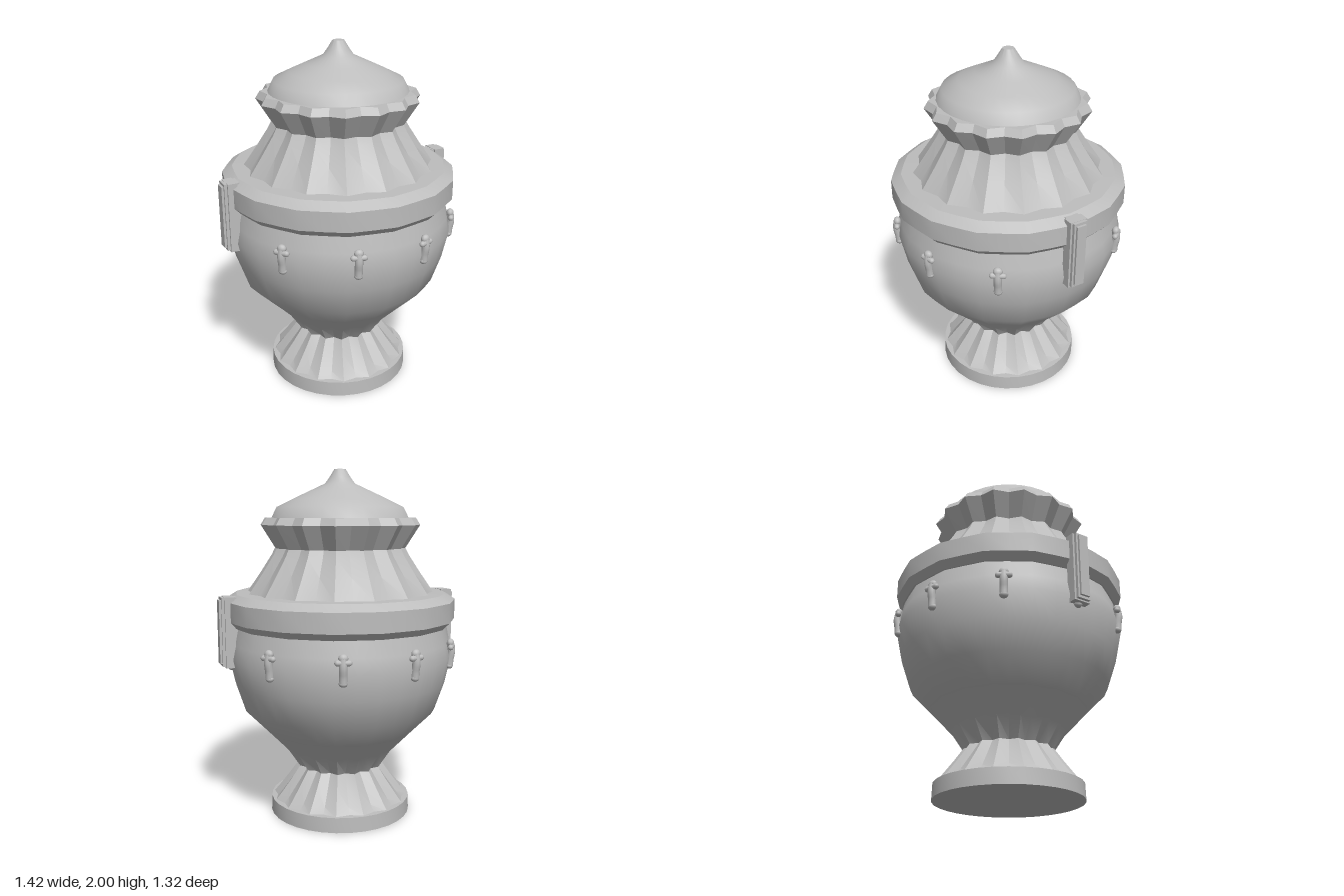
import * as THREE from 'three';
import { toCreasedNormals, mergeGeometries } from 'three/addons/utils/BufferGeometryUtils.js';

const stone = new THREE.MeshStandardMaterial({ color: 0xbdbdbd });
stone.name = 'grey stone';

function addMesh(parent, name, geometry) {
  const mesh = new THREE.Mesh(geometry, stone);
  mesh.name = name;
  parent.add(mesh);
  return mesh;
}

// Turned part with 16 flutes: each profile point is [ridge radius, valley radius, y]
function fluted(profile, crease) {
  const points = profile.map(([r, , y]) => new THREE.Vector2(r, y));
  const geometry = new THREE.LatheGeometry(points, 32);
  const pos = geometry.attributes.position;
  for (let i = 0; i < pos.count; i++) {
    const [ridge, valley] = profile[i % profile.length];
    const column = Math.floor(i / profile.length);
    if (column % 2 && ridge > 0) {
      pos.setX(i, pos.getX(i) * valley / ridge);
      pos.setZ(i, pos.getZ(i) * valley / ridge);
    }
  }
  return toCreasedNormals(geometry, crease);
}

// Small cross with rounded arms and a drooping tail, facing +z
function ornamentGeometry() {
  const bar = new THREE.CapsuleGeometry(0.016, 0.06, 4, 10);
  bar.rotateZ(Math.PI / 2).translate(0, 1.015, 0.012);
  const knob = new THREE.SphereGeometry(0.026, 12, 8);
  knob.scale(1, 0.9, 0.8).translate(0, 1.037, 0.006);
  const path = new THREE.CatmullRomCurve3([
    new THREE.Vector3(0, 1.04, 0.004), new THREE.Vector3(0, 0.99, 0.012),
    new THREE.Vector3(0, 0.94, 0.004), new THREE.Vector3(0, 0.905, 0.002)]);
  const tail = new THREE.TubeGeometry(path, 8, 0.022, 10);
  const tip = new THREE.SphereGeometry(0.024, 12, 8);
  tip.scale(1, 0.8, 0.9).translate(0, 0.907, 0.002);
  return mergeGeometries([bar, knob, tail, tip]);
}

export function createModel() {
  const urn = new THREE.Group();
  urn.name = 'urn';

  // Foot
  addMesh(urn, 'footPlate', fluted([
    [0, 0, 0], [0.413, 0.413, 0], [0.41, 0.41, 0.087], [0.37, 0.37, 0.09], [0, 0, 0.09]], 0.6));
  addMesh(urn, 'footStem', fluted([
    [0.4, 0.38, 0.085], [0.37, 0.345, 0.12], [0.3, 0.275, 0.21], [0.25, 0.222, 0.28]], 0.35));

  // Bowl
  addMesh(urn, 'bowl', fluted([
    [0.25, 0.222, 0.28], [0.32, 0.3, 0.385], [0.44, 0.43, 0.51], [0.567, 0.56, 0.64],
    [0.62, 0.615, 0.8], [0.652, 0.647, 0.95], [0.635, 0.63, 1.03], [0.615, 0.605, 1.13]], 0.7));

  // Rim band and shoulder
  addMesh(urn, 'rimBand', fluted([
    [0.59, 0.58, 1.125], [0.625, 0.615, 1.122], [0.662, 0.652, 1.16],
    [0.662, 0.652, 1.27], [0.605, 0.597, 1.307], [0.5, 0.48, 1.31]], 0.5));

  // Neck and flared lip
  addMesh(urn, 'neck', fluted([
    [0.54, 0.51, 1.305], [0.46, 0.432, 1.42], [0.395, 0.367, 1.52], [0.375, 0.347, 1.56]], 0.35));
  addMesh(urn, 'lip', fluted([
    [0.375, 0.347, 1.56], [0.457, 0.422, 1.69], [0.432, 0.398, 1.73], [0.3, 0.28, 1.73]], 0.3));

  // Domed lid with a pointed finial
  const lid = [[0.393, 1.725], [0.36, 1.79], [0.27, 1.834], [0.18, 1.876],
    [0.085, 1.92], [0.06, 1.955], [0.032, 2]].map(([r, y]) => [r, r, y]);
  addMesh(urn, 'lid', fluted(lid, 0.9));
  const cap = addMesh(urn, 'finialTip', new THREE.CircleGeometry(0.032, 32));
  cap.rotation.x = -Math.PI / 2;
  cap.position.y = 2;

  // Ring of ten ornaments around the bowl
  const ornament = ornamentGeometry();
  for (let i = 0; i < 10; i++) {
    const turn = new THREE.Group();
    turn.name = 'ornamentMount';
    turn.rotation.y = (18 + 36 * i) * Math.PI / 180;
    const mesh = addMesh(turn, 'ornament', ornament);
    mesh.position.z = 0.642;
    urn.add(turn);
  }

  // Side handles: nested bars forming stepped edges and ends
  const bars = [[0.113, 0.355, 0.056, 1.108], [0.088, 0.385, 0.078, 1.108], [0.055, 0.395, 0.1, 1.105]];
  for (const side of [1, -1]) {
    const handle = new THREE.Group();
    handle.name = side > 0 ? 'leftHandle' : 'rightHandle';
    for (const [w, h, d, y] of bars) {
      const bar = addMesh(handle, 'handleBar', new THREE.BoxGeometry(w, h, d));
      bar.position.set(side * 0.656, y, 0);
    }
    urn.add(handle);
  }
  return urn;
}

// Splits normals at sharp edges while keeping gentle curves smooth
export { createModel as default };
